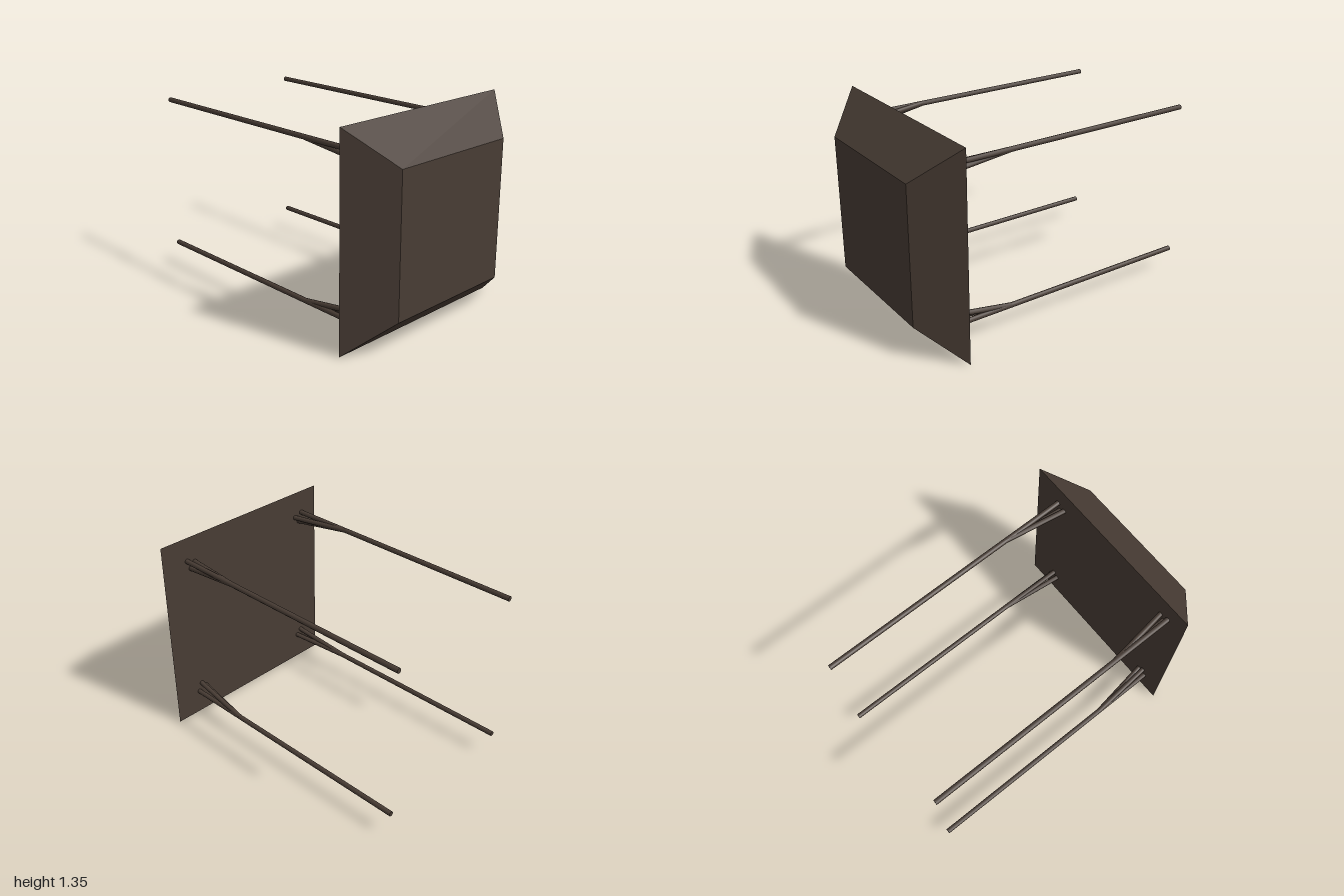
import * as THREE from 'three';

const RADIUS = 0.0165, BACK = 0.755, FRONT = 1;

// Cylinder running between two points
function rod(a, b, material, name) {
  const dir = b.clone().sub(a);
  const mesh = new THREE.Mesh(new THREE.CylinderGeometry(RADIUS, RADIUS, dir.length(), 10), material);
  mesh.position.copy(a).add(b).multiplyScalar(0.5);
  mesh.quaternion.setFromUnitVectors(new THREE.Vector3(0, 1, 0), dir.normalize());
  mesh.name = name;
  return mesh;
}

export function createModel() {
  const model = new THREE.Group();
  model.name = 'bevelledPanelOnRods';
  const brown = new THREE.MeshStandardMaterial({ color: 0x483c34 });
  brown.name = 'dark brown';

  // Panel: a box whose front face is drawn in to make sloping sides
  const geo = new THREE.BoxGeometry(1.35, 1.35, FRONT - BACK).toNonIndexed();
  const p = geo.attributes.position;
  for (let i = 0; i < p.count; i++) {
    if (p.getZ(i) > 0) p.setXY(i, p.getX(i) * 2 / 3, p.getY(i) * 2 / 3);
  }
  geo.computeVertexNormals();
  const panel = new THREE.Mesh(geo, brown);
  panel.name = 'bevelledPanel';
  panel.position.set(0, 0.675, (FRONT + BACK) / 2);
  model.add(panel);

  // Four long rods, each with two prongs splaying inward to the panel
  for (const [x, sx] of [[-0.541, 1], [0.484, -1]]) {
    for (const [y, sy] of [[0.165, 1], [1.191, -1]]) {
      const leg = new THREE.Group();
      leg.name = (sx < 0 ? 'left' : 'right') + (sy < 0 ? 'Upper' : 'Lower') + 'Rod';
      const at = (dx, dy, z) => new THREE.Vector3(x + sx * dx, y + sy * dy, z);
      leg.add(rod(at(0, 0, -1), at(0, 0, BACK + 0.01), brown, 'shaft'));
      for (const [dx, dy] of [[0.061, 0.024], [0.026, 0.061]]) {
        leg.add(rod(at(0, 0, 0.33), at(dx, dy, BACK + 0.01), brown, 'prong'));
      }
      model.add(leg);
    }
  }
  return model;
}
